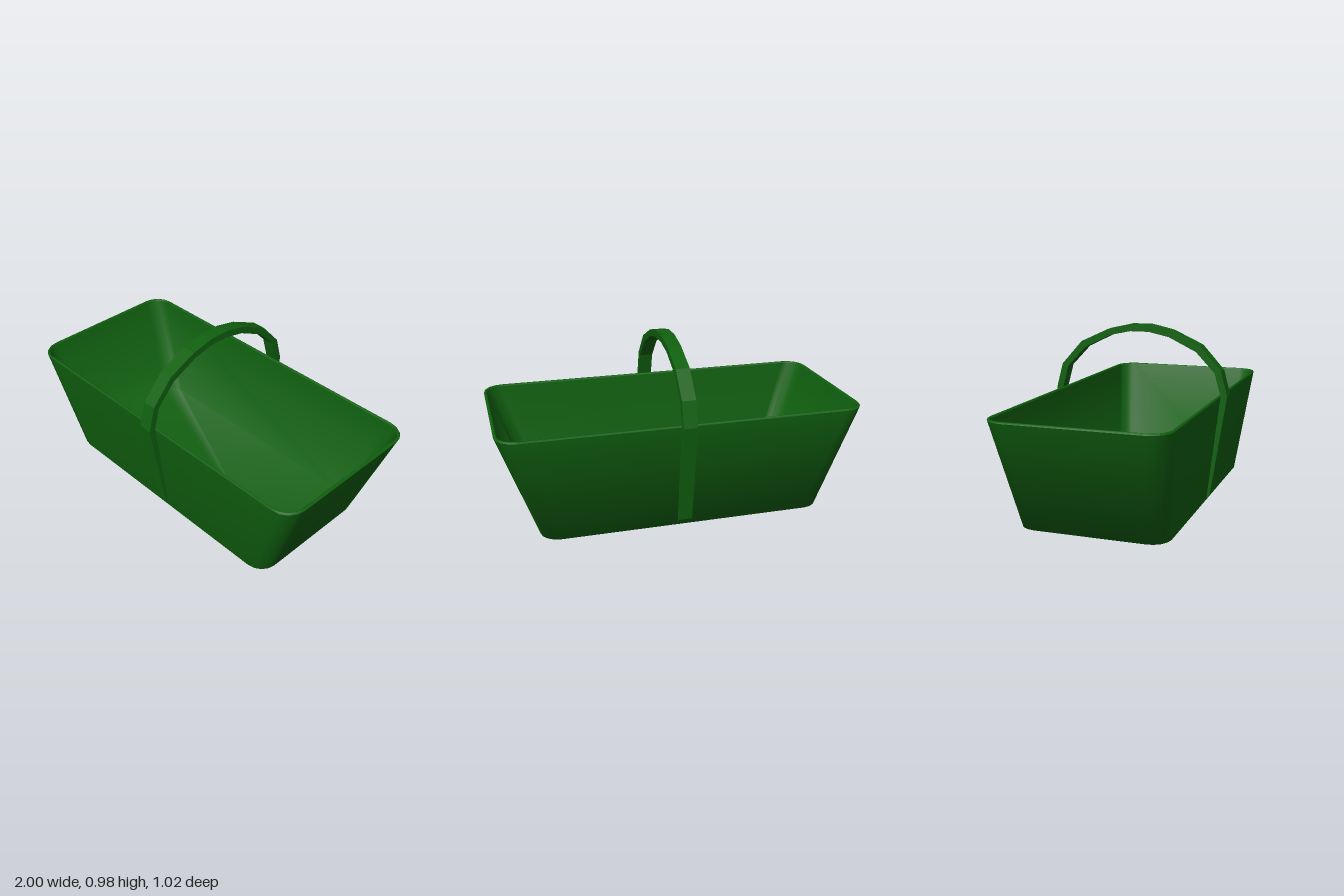
import * as THREE from 'three';

const material = new THREE.MeshStandardMaterial({ color: 0x10600f });

// Rounded rectangle of points at height y, running from +x towards +z
function ring(halfX, halfZ, radius, y, segments = 4) {
  const points = [];
  for (let corner = 0; corner < 4; corner++) {
    const sx = corner === 0 || corner === 3 ? 1 : -1;
    const sz = corner < 2 ? 1 : -1;
    for (let i = 0; i <= segments; i++) {
      const a = (corner + i / segments) * Math.PI / 2;
      points.push([
        sx * (halfX - radius) + radius * Math.cos(a), y,
        sz * (halfZ - radius) + radius * Math.sin(a)
      ]);
    }
  }
  return points;
}

// Skins consecutive rings; the first ring may be closed with a floor
function skin(rings, withFloor, inward) {
  const n = rings[0].length;
  const index = [];
  const tri = (a, b, c) => inward ? index.push(a, c, b) : index.push(a, b, c);
  for (let r = 0; r < rings.length - 1; r++) {
    for (let i = 0; i < n; i++) {
      const j = (i + 1) % n;
      const a = r * n + i, b = r * n + j;
      tri(a, a + n, b);
      tri(b, a + n, b + n);
    }
  }
  if (withFloor) for (let i = 1; i < n - 1; i++) tri(0, i, i + 1);
  const geometry = new THREE.BufferGeometry();
  geometry.setAttribute('position', new THREE.Float32BufferAttribute(rings.flat(2), 3));
  geometry.setIndex(index);
  geometry.computeVertexNormals();
  return geometry;
}

function addMesh(group, name, geometry) {
  const mesh = new THREE.Mesh(geometry, material);
  mesh.name = name;
  group.add(mesh);
}

export function createModel() {
  const model = new THREE.Group();
  model.name = 'basket';

  // Tapered tub: outer wall with floor, inner wall with floor, thin rim
  const outerTop = ring(1, 0.47, 0.11, 0.592);
  const innerTop = ring(0.982, 0.455, 0.095, 0.592);
  addMesh(model, 'outerShell', skin([ring(0.79, 0.4, 0.1, 0), outerTop], true, false));
  addMesh(model, 'innerShell', skin([ring(0.778, 0.388, 0.088, 0.014), innerTop], true, true));
  addMesh(model, 'rim', skin([outerTop, ring(0.994, 0.466, 0.106, 0.6),
    ring(0.986, 0.459, 0.099, 0.6), innerTop], false, false));

  // Handle: one flat band, half profile mirrored across the middle
  const outer = [[0.4, 0.003], [0.42, 0.035], [0.508, 0.597], [0.471, 0.735],
    [0.35, 0.87], [0.183, 0.947], [0.058, 0.975]];
  const inner = [[0.393, 0.005], [0.47, 0.597], [0.436, 0.722],
    [0.328, 0.836], [0.172, 0.912], [0.054, 0.937]];
  const mirrored = (half) => [...half, ...half.map(([z, y]) => [-z, y]).reverse()];
  const outline = [...mirrored(outer), ...mirrored(inner).reverse()];
  const shape = new THREE.Shape(outline.map(([z, y]) => new THREE.Vector2(z, y)));
  const band = new THREE.ExtrudeGeometry(shape, { depth: 0.076, bevelEnabled: false });
  band.rotateY(-Math.PI / 2);
  band.translate(0.055, 0, 0);
  addMesh(model, 'handle', band);

  return model;
}
